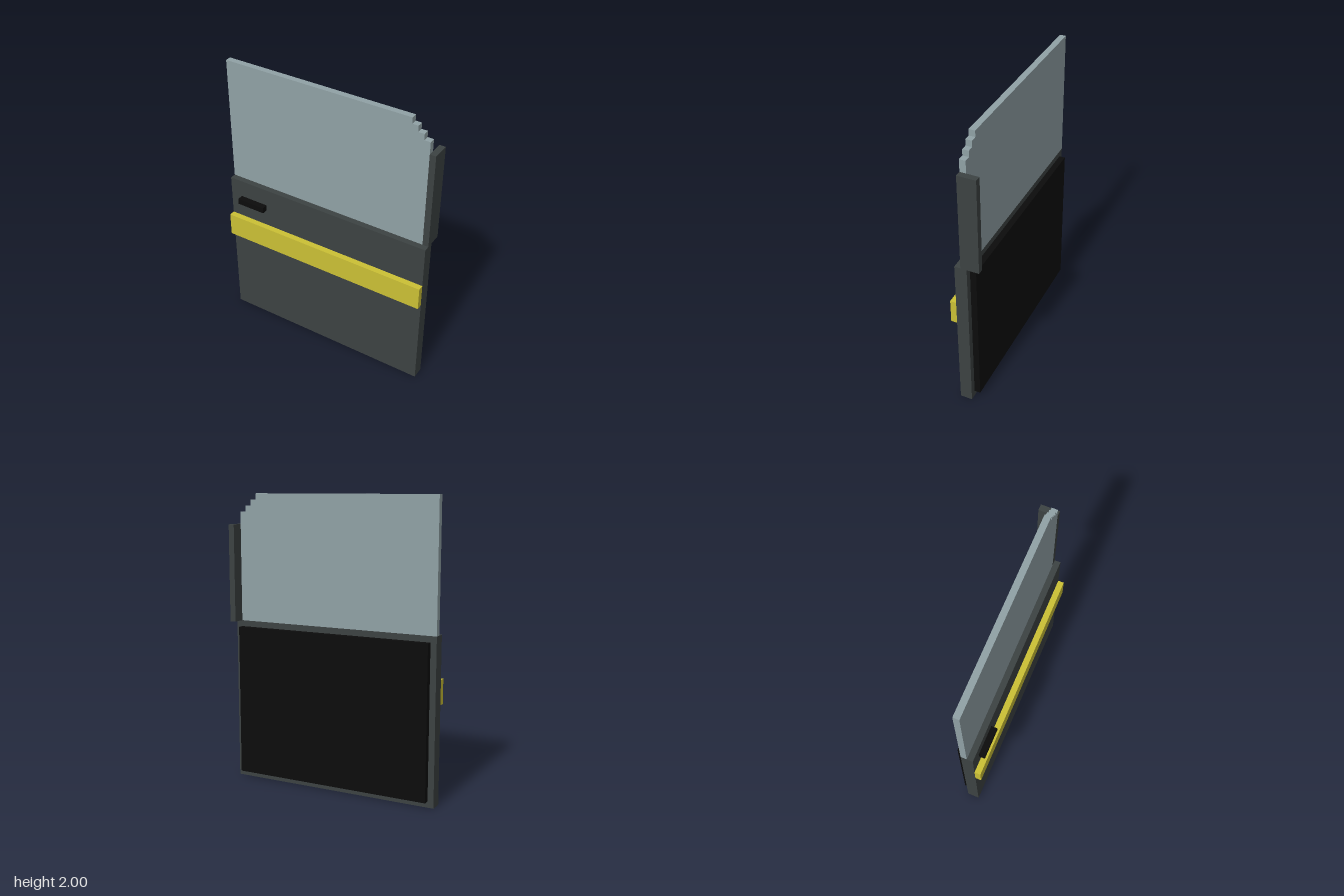
import * as THREE from 'three';

const U = 1 / 24; // one block

function material(name, color) {
  const m = new THREE.MeshStandardMaterial({ color });
  m.name = name;
  return m;
}

export function createModel() {
  const group = new THREE.Group();
  group.name = 'vehicleDoor';
  const darkGrey = material('dark grey', 0x3c4242);
  const glass = material('grey blue glass', 0x90a1a5);
  const yellow = material('yellow', 0xcbc035);
  const black = material('black', 0x0c0c0c);

  function add(name, geometry, mat) {
    const mesh = new THREE.Mesh(geometry, mat);
    mesh.name = name;
    group.add(mesh);
  }

  // Box given by its extents in blocks
  function block(name, mat, [x0, x1], [y0, y1], [z0, z1]) {
    const g = new THREE.BoxGeometry((x1 - x0) * U, (y1 - y0) * U, (z1 - z0) * U);
    g.translate((x0 + x1) * U / 2, (y0 + y1) * U / 2, (z0 + z1) * U / 2);
    add(name, g, mat);
  }

  block('doorPanel', darkGrey, [-18, 18], [0, 27], [-0.5, 1.5]);
  block('innerLining', black, [-17, 17], [1, 26], [-1.5, -0.5]);
  block('trimStripe', yellow, [-18, 18], [16, 20], [1.5, 2.5]);
  block('doorHandle', black, [-16, -11], [23, 24], [1.5, 2.5]);
  block('mirrorPost', darkGrey, [17, 18], [27, 43], [-2.5, 0.5]);

  // Window pane with a stepped upper corner
  const outline = [[-18, 27], [17, 27], [17, 45]];
  for (let i = 0; i < 3; i++) outline.push([16 - i, 45 + i], [16 - i, 46 + i]);
  outline.push([-18, 48]);
  const shape = new THREE.Shape(outline.map(([x, y]) => new THREE.Vector2(x * U, y * U)));
  const pane = new THREE.ExtrudeGeometry(shape, { depth: U, bevelEnabled: false });
  pane.translate(0, 0, -U / 2);
  add('window', pane, glass);

  return group;
}
